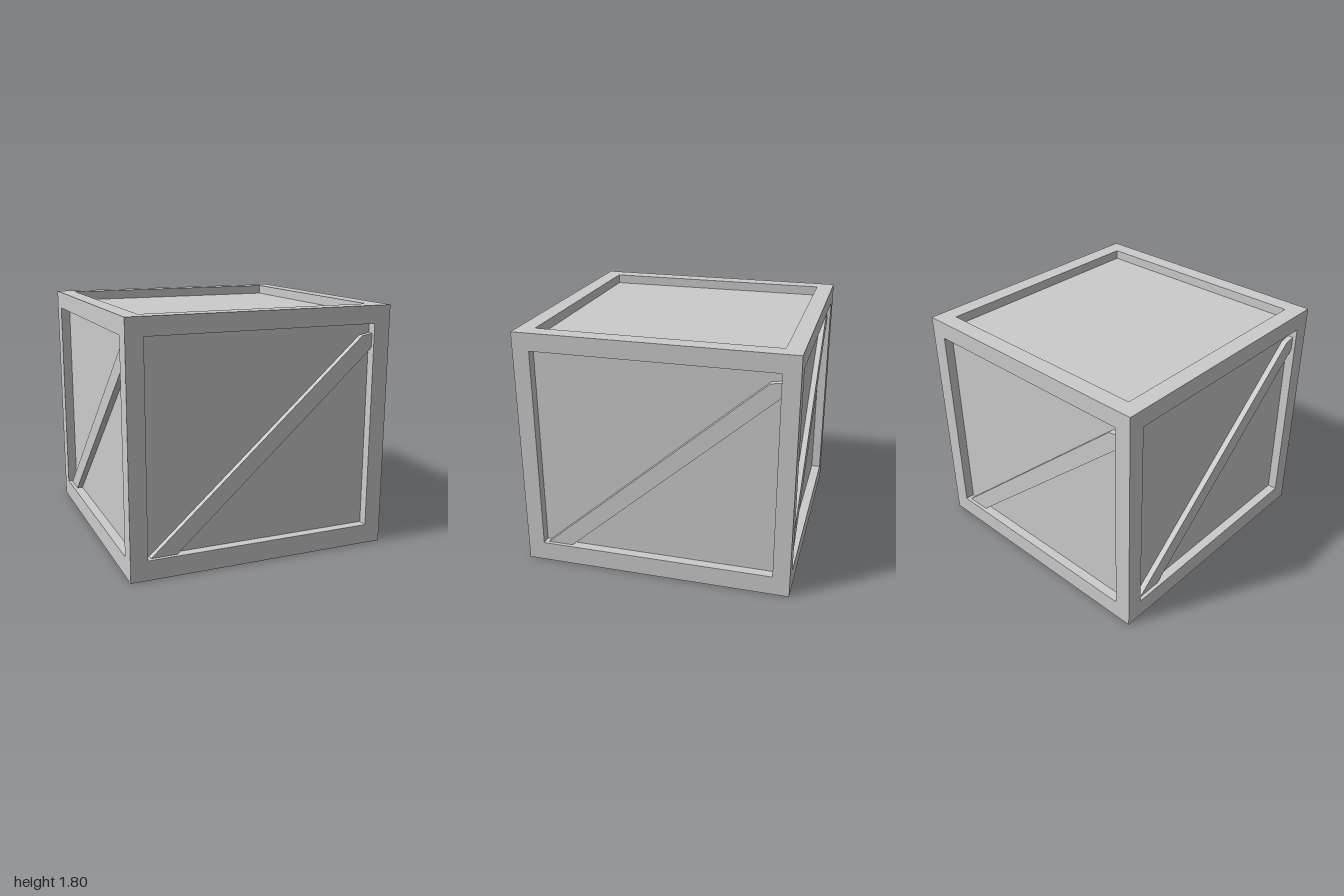
import * as THREE from 'three';

const W = 0.985, D = 1, H = 1.8;             // half width, half depth, height
const BASE = 0.145, TOP = 1.67, BAR = 0.125; // base height, underside of top rails, bar width
const RECESS = 0.07, BRACE = 0.043;          // panel recess, brace thickness

export function createModel() {
  const crate = new THREE.Group();
  crate.name = 'crate';
  const material = new THREE.MeshStandardMaterial({ color: 0xcccccc, flatShading: true });

  const add = (name, geometry, parent = crate) => {
    const mesh = new THREE.Mesh(geometry, material);
    mesh.name = name;
    parent.add(mesh);
    return mesh;
  };
  const box = (name, w, h, d, x, y, z) =>
    add(name, new THREE.BoxGeometry(w, h, d)).position.set(x, y, z);

  // Solid base and the recessed body that shows as the five panels
  box('base', 2 * W, BASE, 2 * D, 0, BASE / 2, 0);
  const bodyHeight = H - RECESS - BASE;
  box('panels', 2 * (W - RECESS), bodyHeight, 2 * (D - RECESS), 0, BASE + bodyHeight / 2, 0);

  // Corner posts
  for (const sx of [-1, 1]) for (const sz of [-1, 1]) {
    box('cornerPost', BAR, H - BASE, BAR,
      sx * (W - BAR / 2), (H + BASE) / 2, sz * (D - BAR / 2));
  }

  // Top rails between the posts
  for (const s of [-1, 1]) {
    box('topRail', 2 * (W - BAR), H - TOP, BAR, 0, (H + TOP) / 2, s * (D - BAR / 2));
    box('topRail', BAR, H - TOP, 2 * (D - BAR), s * (W - BAR / 2), (H + TOP) / 2, 0);
  }

  // Diagonal brace on each of the four sides, rising to the right
  for (let i = 0; i < 4; i++) {
    const [halfSpan, reach] = i % 2 ? [D - BAR, W] : [W - BAR, D];
    const outline = [
      [-halfSpan + 0.03, BASE], [-halfSpan + 0.22, BASE], [halfSpan - 0.015, 1.478],
      [halfSpan, 1.5], [halfSpan, 1.597], [halfSpan - 0.08, 1.583],
    ].map(([x, y]) => new THREE.Vector2(x, y));
    const side = new THREE.Group();
    side.name = 'side';
    side.rotation.y = i * Math.PI / 2;
    crate.add(side);
    const geometry = new THREE.ExtrudeGeometry(new THREE.Shape(outline), { depth: BRACE, bevelEnabled: false });
    add('diagonalBrace', geometry, side).position.z = reach - RECESS;
  }
  return crate;
}
